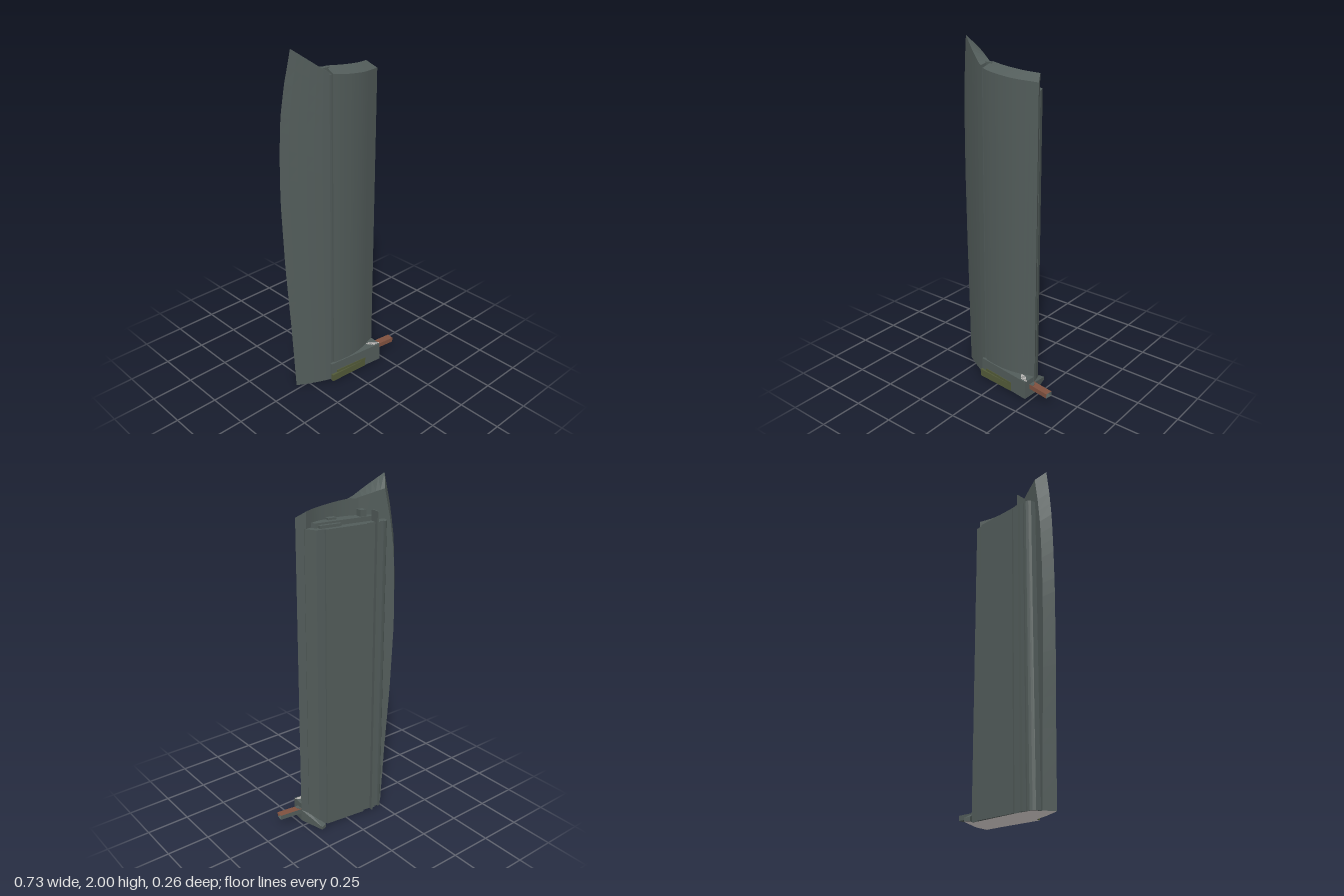
import * as THREE from 'three';

const material = (name, color, side = THREE.DoubleSide) => {
  const m = new THREE.MeshStandardMaterial({ color, side });
  m.name = name;
  return m;
};

// Linear lookup in a short list of [position, value] pairs
function lookup(table, t) {
  for (let i = 1; i < table.length; i++) {
    const [a, va] = table[i - 1], [b, vb] = table[i];
    if (t <= b) return va + (vb - va) * Math.max(0, (t - a) / (b - a));
  }
  return table[table.length - 1][1];
}

// Upright prism from a plan of [x, z] points; top is a height or a rule of x, z
function prism(plan, y0, top) {
  const shape = new THREE.Shape(plan.map(([x, z]) => new THREE.Vector2(x, -z)));
  const geo = new THREE.ExtrudeGeometry(shape, { depth: 1, bevelEnabled: false });
  geo.rotateX(-Math.PI / 2);
  const p = geo.attributes.position;
  for (let i = 0; i < p.count; i++) {
    const h = typeof top === 'function' ? top(p.getX(i), p.getZ(i)) : top;
    p.setY(i, p.getY(i) > 0.5 ? h : y0);
  }
  geo.computeVertexNormals();
  return geo;
}

// Tall curved wall with a capped top. at(front, u, t) gives [x, y, z]:
// u runs from +x to -x along the front or back face, t from bottom to top
function curvedWall(n, levels, at) {
  const ring = 2 * (n + 1), pos = [], idx = [];
  for (let j = 0; j <= levels; j++) for (let k = 0; k < ring; k++) {
    const front = k <= n;
    pos.push(...at(front, (front ? k : ring - 1 - k) / n, j / levels));
  }
  for (let j = 0; j < levels; j++) for (let k = 0; k < ring; k++) {
    const a = j * ring + k, b = j * ring + (k + 1) % ring;
    idx.push(a, a + ring, b, b, a + ring, b + ring);
  }
  for (let k = 0; k < n; k++) {
    const f = levels * ring + k, b = levels * ring + ring - 1 - k;
    idx.push(f, b, f + 1, f + 1, b, b - 1);
  }
  const geo = new THREE.BufferGeometry();
  geo.setAttribute('position', new THREE.Float32BufferAttribute(pos, 3));
  geo.setIndex(idx);
  const flat = geo.toNonIndexed();
  flat.computeVertexNormals();
  return flat;
}

// Side wing: its outer edge swells with height and ends in a peak
function wingGeometry() {
  const reach = [[0, 0.32], [0.4, 0.335], [0.8, 0.354], [1.2, 0.365], [1.45, 0.362],
    [1.65, 0.354], [1.82, 0.335], [2, 0.305]];
  const frontZ = [[0.13, 0.067], [0.17, 0.052], [0.22, 0.028], [0.28, -0.005], [0.32, -0.029], [0.365, -0.06]];
  const backZ = [[0.13, -0.005], [0.2, -0.045], [0.26, -0.077], [0.32, -0.111]];
  return curvedWall(6, 24, (front, u, t) => {
    const crest = front ? lookup([[0, 1.87], [0.15, 1.885], [1, 2]], u) : 1.885 + 0.045 * u;
    const e = lookup(reach, t * 2) - (front ? 0 : 0.045);
    const x = 0.13 + (e - 0.13) * u;
    return [-x, t * crest, lookup(front ? frontZ : backZ, x)];
  });
}

// Curved front screen: its top slopes forwards and drops at the outer corner
function screenGeometry() {
  const curve = pts => new THREE.SplineCurve(pts.map(([x, z]) => new THREE.Vector2(x, z)));
  const face = curve([[0.23, 0.046], [0.11, 0.08], [0.02, 0.089], [-0.06, 0.083], [-0.112, 0.072]]);
  const rear = curve([[0.2, -0.006], [0.12, 0.015], [0.04, 0.021], [-0.03, 0.018], [-0.1, 0.004]]);
  return curvedWall(20, 1, (front, u, t) => {
    const p = (front ? face : rear).getPoint(u);
    const top = front ? 1.82 + 0.038 * u : 1.856 + 0.029 * u;
    return [p.x, 0.002 + t * top, p.y];
  });
}

export function createModel() {
  const model = new THREE.Group();
  model.name = 'tower';
  const slate = material('slate glass', 0x525c5a);
  const brown = material('brown panel', 0x80513f);
  const olive = material('olive panel', 0x525a38);
  const pale = material('pale underside', 0xf0e8e6, THREE.FrontSide);
  const add = (name, geo, mat = slate) => {
    const mesh = new THREE.Mesh(geo, mat);
    mesh.name = name;
    model.add(mesh);
    return mesh;
  };

  add('sideWing', wingGeometry());
  add('frontScreen', screenGeometry());

  // Main shaft with stepped rear facade
  add('core', prism([[-0.262, -0.08], [-0.252, -0.107], [-0.24, -0.118], [-0.225, -0.122], [-0.225, -0.112],
    [-0.202, -0.108], [-0.202, -0.118], [-0.18, -0.115], [-0.18, -0.107], [-0.12, -0.099], [-0.12, -0.11],
    [0.13, -0.077], [0.13, -0.068], [0.177, -0.06], [0.207, 0], [0.2, 0.03], [0, 0.05],
    [-0.1, 0.045], [-0.14, 0.045], [-0.15, 0]], 0.002, 1.77));
  add('rearFin', prism([[-0.186, -0.07], [-0.175, -0.13], [-0.168, -0.129], [-0.178, -0.069]], 0.002, 1.83));

  // Recessed joint between wing and screen
  add('jointFront', prism([[-0.135, 0.02], [-0.135, 0.057], [-0.105, 0.06], [-0.1, 0.02]], 0.002, 1.855));
  add('jointRear', prism([[-0.155, -0.015], [-0.14, 0.025], [-0.09, 0.025], [-0.09, 0.006]], 1.7, 1.883));

  // Roof storey and plant
  add('roofStorey', prism([[-0.235, -0.06], [-0.225, -0.075], [0.155, -0.025], [0.165, 0.0],
    [0.1, 0.02], [-0.1, 0.02], [-0.14, 0.0]], 1.76, 1.795));
  const plant = [[-0.137, -0.035, 0.035, 0.04, 1.83], [0.035, 0.003, 0.05, 0.03, 1.805], [0.08, -0.045, 0.125, 0.022, 1.785]];
  for (const [x, z, w, d, top] of plant) {
    const box = add('roofPlant', new THREE.BoxGeometry(w, top - 1.76, d));
    box.position.set(x, (top + 1.76) / 2, z);
    box.rotation.y = -0.13;
  }

  // Street level: front podium, rear side wedge and entrance panels
  add('podium', prism([[-0.136, 0.068], [-0.136, 0.08], [0.222, 0.127], [0.227, 0.05], [0, 0.05]], 0.002, 0.115));
  add('sideWedge', prism([[0.157, -0.097], [0.19, -0.106], [0.23, 0.046], [0.2, 0.04], [0.2, -0.005]],
    0.002, (x, z) => lookup([[-0.11, 0.018], [0.02, 0.075]], z)));
  add('entrancePanel', prism([[-0.138, 0.079], [-0.138, 0.095], [0.11, 0.114], [0.11, 0.108]], 0.002, 0.045), olive);
  add('entrancePanelTop', prism([[-0.1, 0.084], [-0.1, 0.089], [0.11, 0.1145], [0.11, 0.109]], 0.045, 0.06), olive);

  // Pale slats on the podium corner
  for (let i = 0; i < 5; i++) {
    const slat = add('podiumSlat', new THREE.BoxGeometry(0.035 + 0.003 * i, 0.002, 0.003), pale);
    slat.position.set(0.172 + 0.008 * i, 0.1155, 0.076 + 0.009 * i);
    slat.rotation.y = -0.13;
  }

  // Projecting side bar, open at its outer end, with a collar plate at the wall
  const barGeo = new THREE.BoxGeometry(0.15, 0.028, 0.043);
  barGeo.groups = barGeo.groups.filter(g => g.materialIndex !== 0);
  const bar = add('sideBar', barGeo, [slate, slate, brown, slate, brown, slate]);
  bar.position.set(0.287, 0.067, 0.075);
  bar.rotation.y = -0.14;
  add('barCollar', prism([[0.226, 0.05], [0.226, 0.088], [0.246, 0.088], [0.249, 0.075], [0.236, 0.052]], 0.081, 0.083));

  // Underside
  const outline = [[-0.32, -0.03], [-0.22, 0.027], [-0.138, 0.064], [-0.138, 0.094], [0.11, 0.113], [0.222, 0.126],
    [0.229, 0.046], [0.19, -0.105], [0.158, -0.097], [0.165, -0.064], [-0.12, -0.108], [-0.24, -0.117],
    [-0.262, -0.08], [-0.276, -0.085]];
  const base = new THREE.ShapeGeometry(new THREE.Shape(outline.map(([x, z]) => new THREE.Vector2(x, z))));
  add('underside', base.rotateX(Math.PI / 2), pale);
  return model;
}
